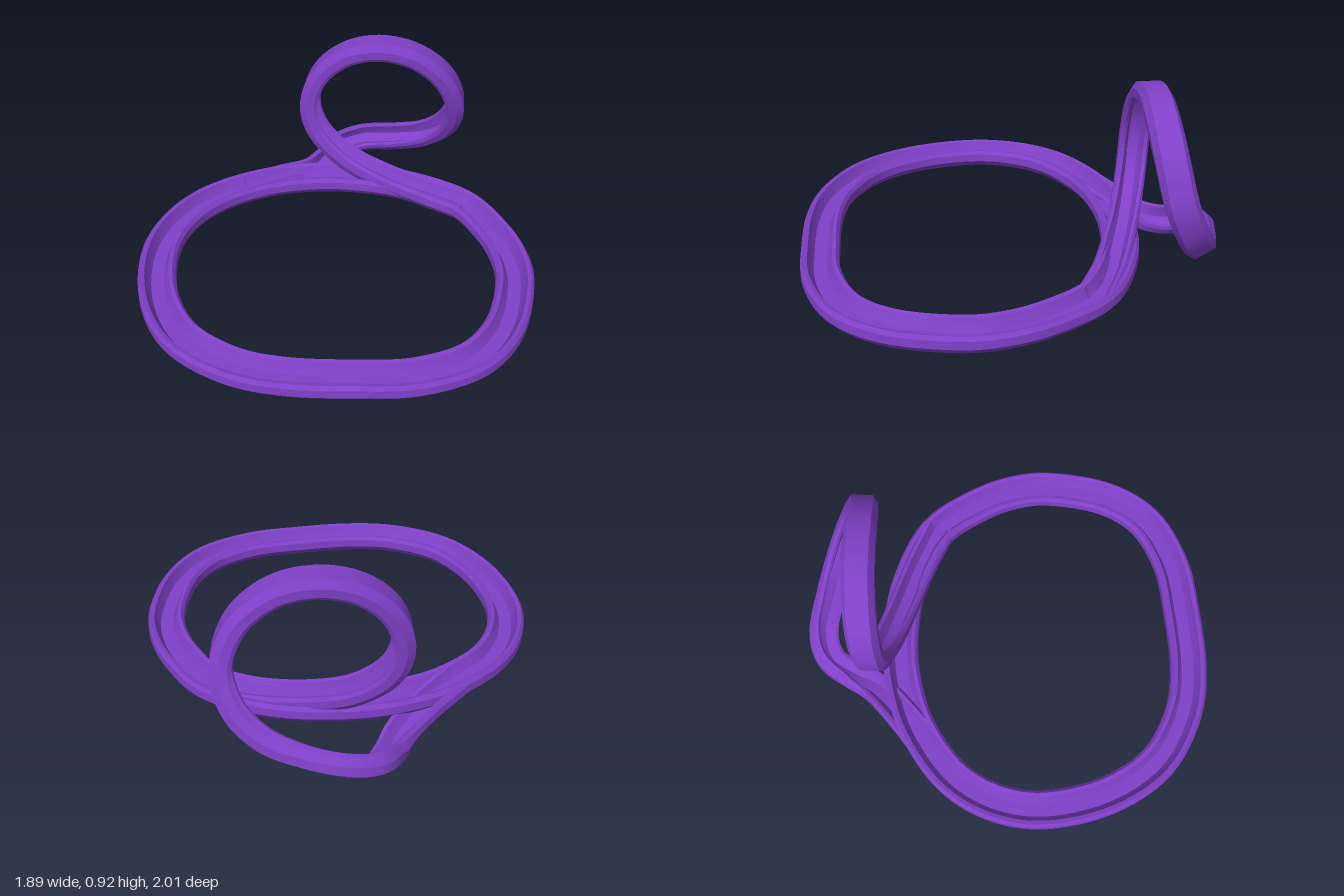
import * as THREE from 'three';
import { toCreasedNormals } from 'three/addons/utils/BufferGeometryUtils.js';

// Half of the gutter cross-section, [across, up], from channel floor to underside
const half = [[0.03, -0.012], [0.045, 0.012], [0.056, 0.04], [0.074, 0.045],
  [0.088, 0.028], [0.09, -0.012], [0.062, -0.048]];
const profile = [...half, ...half.map(([x, y]) => [-x, y]).reverse()];

// Sweep the gutter along a path; ups gives the open side's direction at each control point
function sweep(points, ups, closed, steps, widthAt) {
  const path = new THREE.CatmullRomCurve3(points, closed, 'catmullrom', 0.5);
  const upPath = new THREE.CatmullRomCurve3(ups, closed, 'catmullrom', 0.5);
  const n = profile.length, pos = [], index = [];
  for (let i = 0; i <= steps; i++) {
    const t = i / steps;
    const p = path.getPoint(t), dir = path.getTangent(t);
    const side = dir.clone().cross(upPath.getPoint(t)).normalize();
    const up = side.clone().cross(dir).normalize();
    for (const [a, b] of profile) {
      const v = p.clone().addScaledVector(side, a * widthAt(t)).addScaledVector(up, b);
      pos.push(v.x, v.y, v.z);
    }
    if (i === steps) break;
    for (let j = 0; j < n; j++) {
      const a = i * n + j, b = i * n + (j + 1) % n;
      index.push(a, b, a + n, b, b + n, a + n);
    }
  }
  // End caps on an open run
  if (!closed) {
    const flat = profile.map(([x, y]) => new THREE.Vector2(x, y));
    for (const [a, b, c] of THREE.ShapeUtils.triangulateShape(flat, [])) {
      const e = steps * n;
      index.push(a, b, c, e + a, e + c, e + b);
    }
  }
  const g = new THREE.BufferGeometry();
  g.setAttribute('position', new THREE.Float32BufferAttribute(pos, 3));
  g.setIndex(index);
  return toCreasedNormals(g, 0.5);
}

export function createModel() {
  const group = new THREE.Group();
  group.name = 'loopTrack';
  const material = new THREE.MeshStandardMaterial({ color: 0x8040c8, side: THREE.DoubleSide });
  const add = (name, geometry) => {
    const mesh = new THREE.Mesh(geometry, material);
    mesh.name = name;
    group.add(mesh);
  };

  // Flat ring, [x, z]
  const ring = [[-0.85, 0.2], [-0.82, -0.05], [-0.7, -0.26], [-0.48, -0.43], [-0.24, -0.52],
    [0, -0.55], [0.28, -0.525], [0.57, -0.41], [0.74, -0.2], [0.83, 0], [0.855, 0.2],
    [0.81, 0.48], [0.68, 0.69], [0.45, 0.82], [0.2, 0.87], [-0.1, 0.9], [-0.35, 0.87],
    [-0.6, 0.74], [-0.77, 0.5]].map(([x, z]) => new THREE.Vector3(x, 0.13, z));
  add('ringTrack', sweep(ring, ring.map(() => new THREE.Vector3(0, 1, 0)), true, 114, () => 1));

  // Vertical loop leaving the ring, then a banked return: [x, y, z, up x, up y, up z]
  const loop = [
    [0.6, 0.13, -0.39, 0, 1, 0], [0.38, 0.135, -0.475, 0, 1, 0],
    [0.15, 0.17, -0.54, 0.1, 1, 0], [-0.05, 0.24, -0.59, 0.5, 0.8, 0],
    [-0.2, 0.37, -0.625, 0.85, 0.4, 0], [-0.25, 0.53, -0.64, 1, 0, 0],
    [-0.2, 0.7, -0.65, 0.85, -0.45, 0], [-0.07, 0.82, -0.66, 0.5, -0.85, 0],
    [0.1, 0.865, -0.67, 0, -1, 0], [0.28, 0.83, -0.68, -0.5, -0.85, 0],
    [0.43, 0.71, -0.705, -0.85, -0.5, 0], [0.5, 0.53, -0.75, -1, 0, 0.05],
    [0.46, 0.36, -0.82, -0.85, 0.45, 0.25], [0.34, 0.24, -0.88, -0.4, 0.75, 0.5],
    [0.18, 0.18, -0.92, -0.1, 0.75, 0.65], [0, 0.14, -0.945, 0.1, 0.7, 0.7],
    [-0.13, 0.1, -0.9, 0.5, 0.75, 0.45], [-0.205, 0.06, -0.78, 0.5, 0.85, 0],
    [-0.26, 0.065, -0.67, 0.2, 0.95, 0], [-0.37, 0.1, -0.55, 0, 1, 0],
    [-0.55, 0.13, -0.385, 0, 1, 0]];
  add('loopTrack', sweep(
    loop.map((r) => new THREE.Vector3(r[0], r[1], r[2])),
    loop.map((r) => new THREE.Vector3(r[3], r[4], r[5])),
    false, 140, (t) => 0.82 + 0.14 * Math.pow(Math.abs(2 * t - 1), 6)));

  // Stand on the ground, centred
  const box = new THREE.Box3().setFromObject(group);
  const c = box.getCenter(new THREE.Vector3());
  group.children.forEach((m) => m.geometry.translate(-c.x, -box.min.y, -c.z));
  return group;
}
